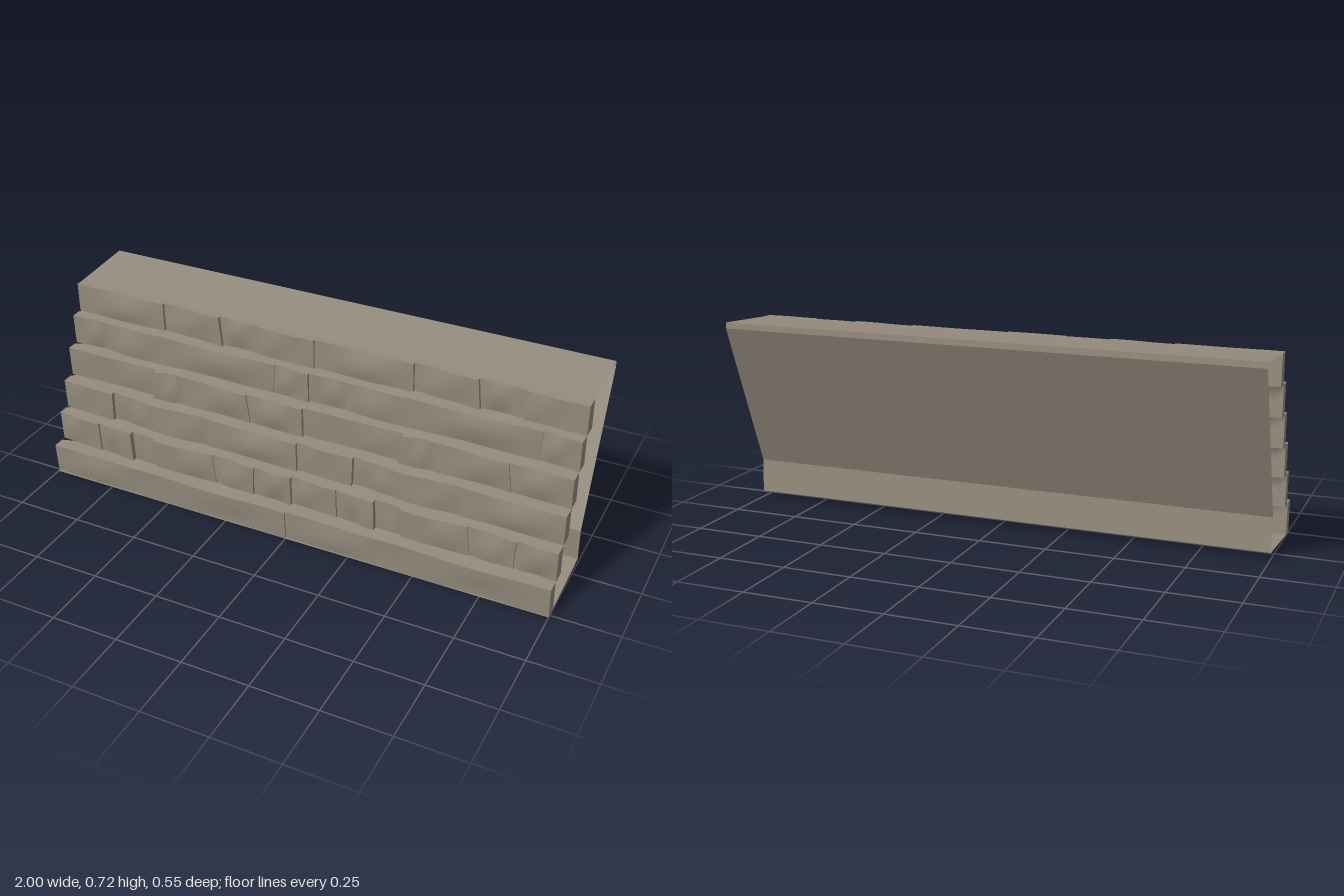
import * as THREE from 'three';

const stoneMat = new THREE.MeshStandardMaterial({ color: 0x958c7d, side: THREE.DoubleSide });

// Courses from the ground up: bottom y, top y, front z at bottom and top, back z,
// then stones as [start, end, relief at start, relief at end] along one unit of wall.
const courses = [
  { y: [0.003, 0.122], f: [0.262, 0.271], b: 0.214, stones: [[0, 0.5, -0.006, 0], [0.5, 1, 0, 0]] },
  { y: [0.122, 0.242], f: [0.217, 0.223], b: 0.165, stones: [
    [0, 0.18, -0.014, -0.004], [0.18, 0.33, -0.012, 0.006], [0.33, 0.43, -0.014, -0.01],
    [0.43, 0.68, 0.004, -0.008], [0.68, 0.85, -0.012, 0.002], [0.85, 1, -0.006, 0]] },
  { y: [0.242, 0.36], f: [0.17, 0.175], b: 0.115, stones: [
    [0, 0.22, -0.012, -0.002], [0.22, 0.38, -0.018, -0.006], [0.38, 0.63, 0, -0.01], [0.63, 1, -0.004, 0]] },
  { y: [0.36, 0.478], f: [0.122, 0.127], b: 0.068, stones: [
    [0, 0.38, -0.014, -0.018], [0.38, 0.5, 0, -0.012], [0.5, 0.78, -0.006, -0.002], [0.78, 1, -0.008, 0]] },
  { y: [0.478, 0.595], f: [0.072, 0.076], b: 0.02, stones: [
    [0, 0.14, -0.01, -0.016], [0.14, 0.38, -0.012, -0.004], [0.38, 0.86, -0.004, -0.008], [0.86, 1, -0.012, 0]] },
  { y: [0.595, 0.708], f: [0.028, 0.03], b: -0.028, stones: [
    [0, 0.38, -0.01, -0.004], [0.38, 0.62, -0.016, -0.002], [0.62, 0.78, -0.016, -0.012], [0.78, 1, -0.002, 0]] },
];

const lerp = THREE.MathUtils.lerp;

// One rough stone: a box whose front, joints and bed lines are warped
function makeStone(course, row, [s, e, r0, r1], index) {
  const geo = new THREE.BoxGeometry(1, 1, 1, 8, 4, 1);
  const p = geo.attributes.position;
  const slant = (x) => (x === 0 || x === 1 ? 0 : 0.014 * Math.sin(x * 23 + row * 2));
  for (let i = 0; i < p.count; i++) {
    const u = p.getX(i) + 0.5, v = p.getY(i) + 0.5;
    const x = lerp(s + slant(s) * (v - 0.5), e + slant(e) * (v - 0.5), u);
    // bed lines wave gently and match between neighbouring courses
    const wave = (k) => (k === 0 || k === 6 ? 0 : 0.003 * Math.sin(x * 14 + k * 1.7) * Math.sin(Math.PI * x));
    const y = lerp(course.y[0] + wave(row), course.y[1] + wave(row + 1), v);
    let z;
    if (p.getZ(i) > 0) {
      const belly = Math.sin(Math.PI * u) * Math.sin(Math.PI * v);
      const chip = 0.005 * Math.sin(u * 5 + index * 2 + row) * Math.sin(v * 4 + index) * Math.sin(Math.PI * u);
      z = lerp(course.f[0], course.f[1], v) + lerp(r0, r1, u) + chip
        + belly * (row === 0 ? 0.001 : 0.005);
    } else {
      // the bed reaches under the recessed stones above
      z = course.b + 0.006 * v - (v > 0.99 && x > 0 && x < 1 && row < 5 ? 0.018 : 0);
    }
    p.setXYZ(i, x, y, z);
  }
  geo.computeVertexNormals();
  const mesh = new THREE.Mesh(geo, stoneMat);
  mesh.name = 'stone';
  return mesh;
}

// A flat sheet running the length of the wall between two [z, y] points
function makePanel(name, [z0, y0], [z1, y1]) {
  const geo = new THREE.PlaneGeometry(2, 1);
  const p = geo.attributes.position;
  for (let i = 0; i < p.count; i++) {
    const t = p.getY(i) + 0.5;
    p.setXYZ(i, p.getX(i), lerp(y0, y1, t), lerp(z0, z1, t));
  }
  geo.computeVertexNormals();
  const mesh = new THREE.Mesh(geo, stoneMat);
  mesh.name = name;
  return mesh;
}

export function createModel() {
  const model = new THREE.Group();
  model.name = 'retainingWall';

  // Stepped stone face, repeated for both halves of the wall
  for (const offset of [-1, 0]) {
    const section = new THREE.Group();
    section.name = offset < 0 ? 'rightSection' : 'leftSection';
    section.position.x = offset;
    courses.forEach((course, row) => {
      const group = new THREE.Group();
      group.name = `course${row + 1}`;
      course.stones.forEach((stone, i) => group.add(makeStone(course, row, stone, i)));
      section.add(group);
    });
    model.add(section);
  }

  // Plain sheets closing the top, back and underside; the ends stay open
  model.add(
    makePanel('topPanel', [0.008, 0.707], [-0.27, 0.725]),
    makePanel('topBackEdge', [-0.27, 0.725], [-0.271, 0.703]),
    makePanel('backPanel', [-0.271, 0.703], [-0.056, 0.149]),
    makePanel('lowerBackPanel', [-0.056, 0.149], [-0.063, 0.024]),
    makePanel('bottomPanel', [-0.063, 0.024], [0.262, 0.001]),
  );
  return model;
}
